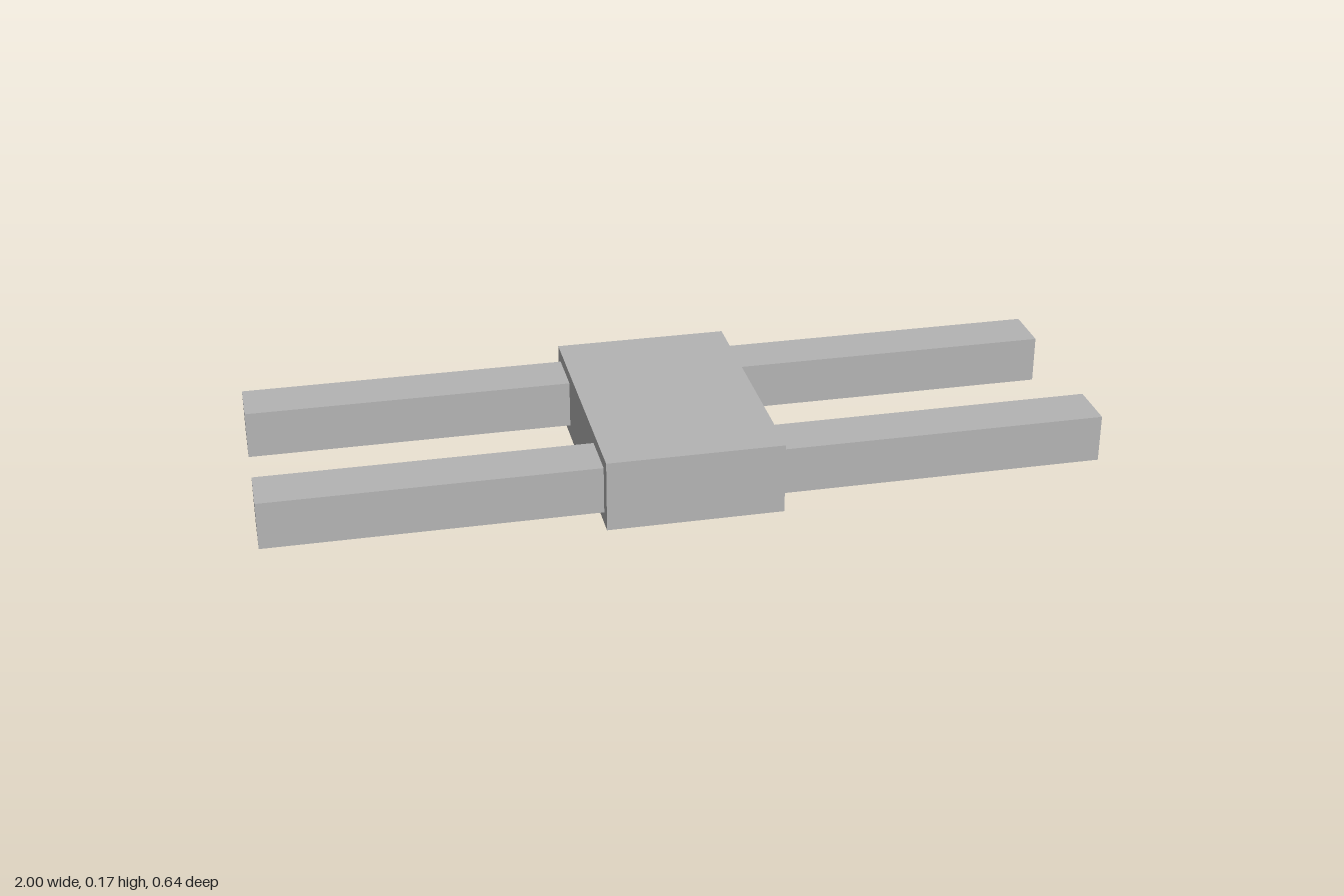
import * as THREE from 'three';

export function createModel() {
  const model = new THREE.Group();
  model.name = 'crossbarBlock';
  const grey = new THREE.MeshStandardMaterial({ name: 'grey', color: 0xb4b4b4 });

  const addBox = (name, size, position) => {
    const mesh = new THREE.Mesh(new THREE.BoxGeometry(...size), grey);
    mesh.name = name;
    mesh.position.set(...position);
    model.add(mesh);
  };

  // Central block
  addBox('body', [0.422, 0.174, 0.638], [0, 0.087, 0]);

  // Four square arms, butted against the sides of the block
  for (const [side, sx] of [['left', 1], ['right', -1]]) {
    for (const [end, sz] of [['Front', 1], ['Back', -1]]) {
      addBox(`${side}${end}Arm`, [0.789, 0.116, 0.126], [sx * 0.6055, 0.088, sz * 0.224]);
    }
  }
  return model;
}
